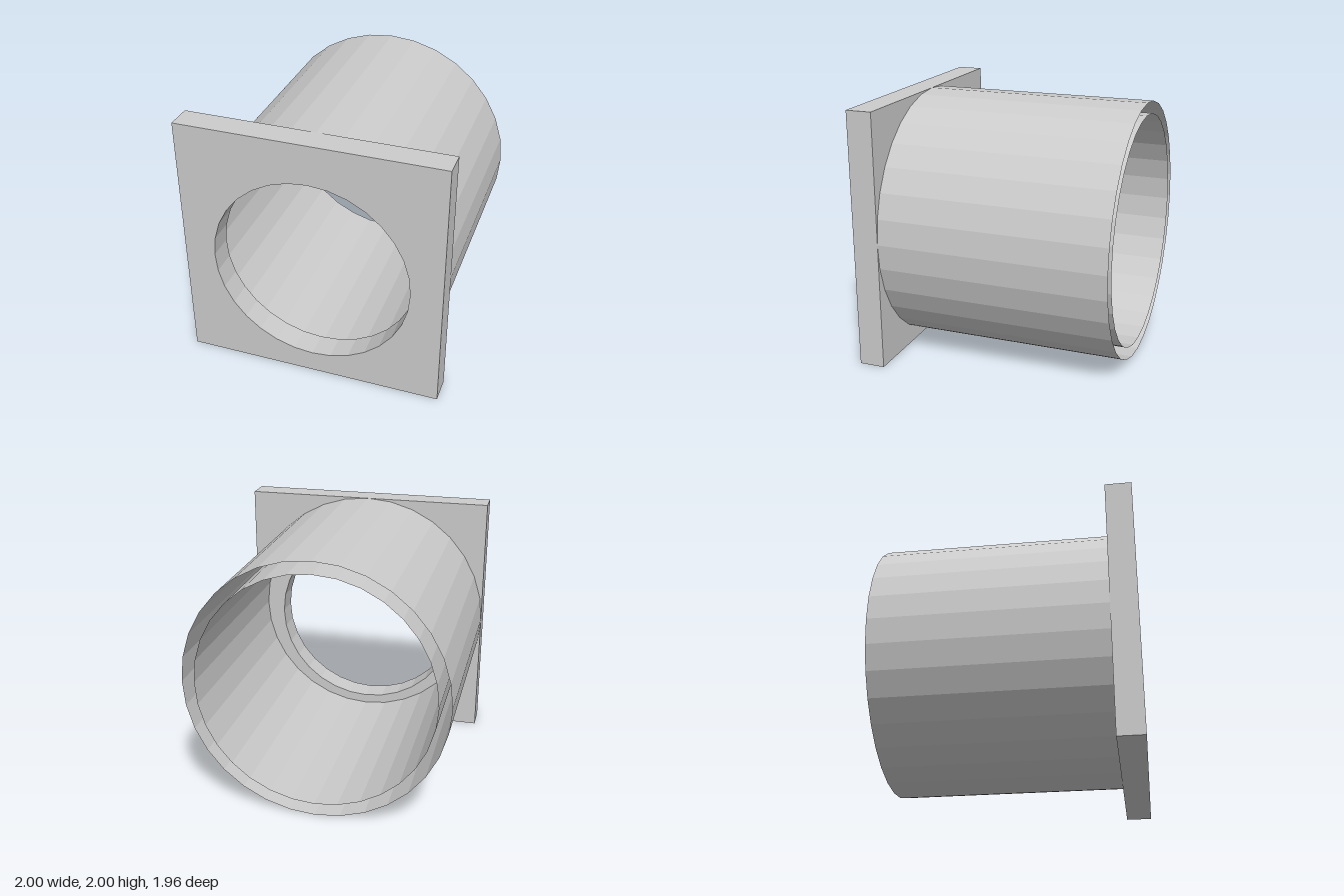
import * as THREE from 'three';

const SIDES = 32;
const FRONT = 0.98, PLATE_BACK = 0.78, BACK = -0.98;

export function createModel() {
  const group = new THREE.Group();
  const material = new THREE.MeshStandardMaterial({
    color: 0xcccccc, flatShading: true, side: THREE.DoubleSide,
  });

  // Square flange with a round hole set slightly below its centre
  const square = new THREE.Shape();
  square.moveTo(-1, 0);
  square.lineTo(1, 0);
  square.lineTo(1, 2);
  square.lineTo(-1, 2);
  square.closePath();
  const hole = new THREE.Path();
  hole.absarc(0, 0.93, 0.76, 0, Math.PI * 2, true);
  square.holes.push(hole);
  const plate = new THREE.Mesh(
    new THREE.ExtrudeGeometry(square, {
      depth: FRONT - PLATE_BACK, bevelEnabled: false, curveSegments: SIDES / 2,
    }),
    material
  );
  plate.name = 'flangePlate';
  plate.position.z = PLATE_BACK;
  group.add(plate);

  // Two concentric open shells; the gap between them is open at the back
  const addShell = (name, radius) => {
    const length = PLATE_BACK - BACK;
    const geometry = new THREE.CylinderGeometry(radius, radius, length, SIDES, 1, true);
    geometry.rotateX(Math.PI / 2);
    const shell = new THREE.Mesh(geometry, material);
    shell.name = name;
    shell.position.set(0, 1, (PLATE_BACK + BACK) / 2);
    group.add(shell);
  };
  addShell('outerTube', 1);
  addShell('innerTube', 0.905);

  return group;
}
